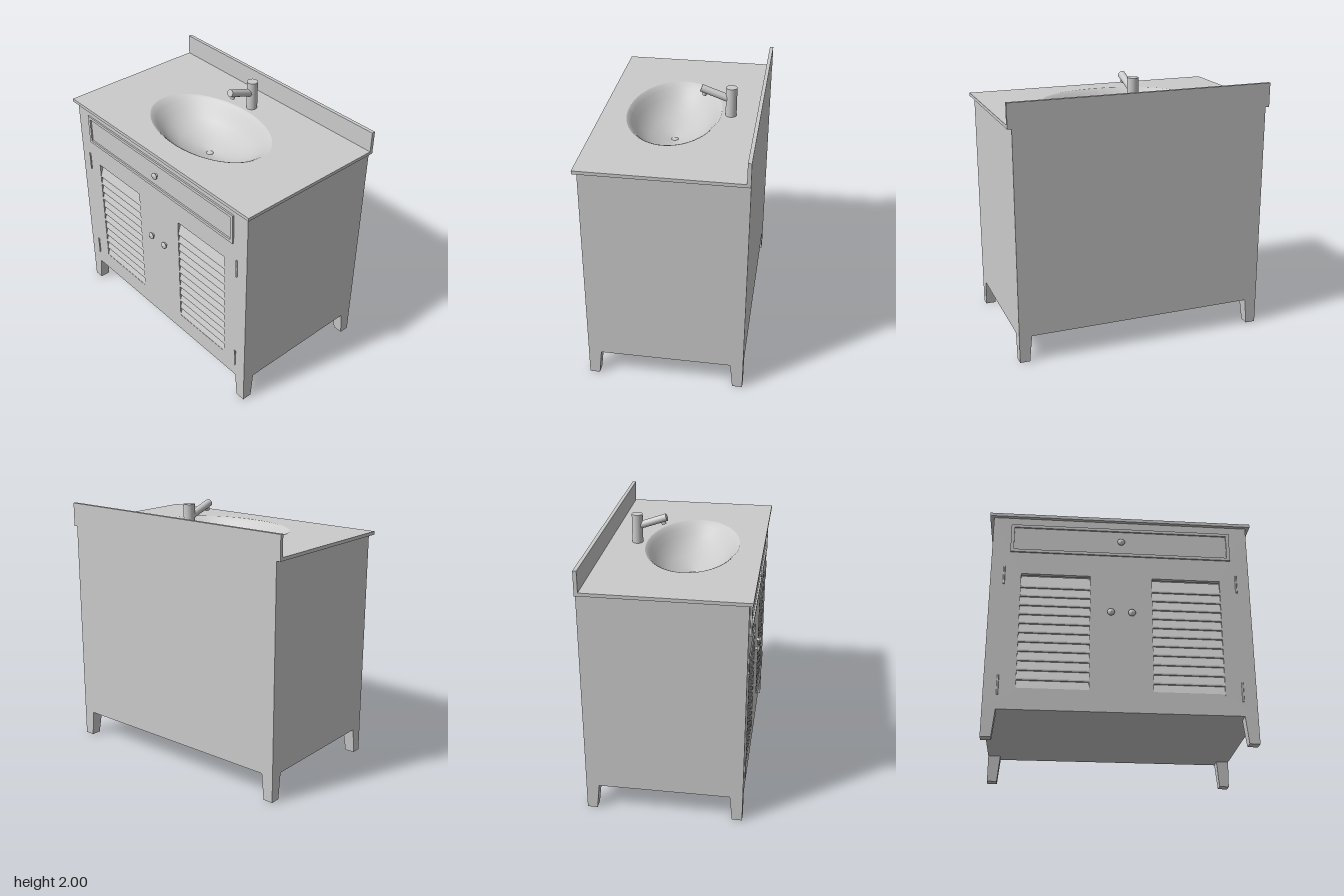
import * as THREE from 'three';

const material = new THREE.MeshStandardMaterial({ color: 0xcccccc, side: THREE.DoubleSide });

function add(parent, name, geometry, x = 0, y = 0, z = 0) {
  const mesh = new THREE.Mesh(geometry, material);
  mesh.name = name;
  mesh.position.set(x, y, z);
  parent.add(mesh);
  return mesh;
}

// Box given by its minimum and maximum corners
function addBox(parent, name, [x0, y0, z0], [x1, y1, z1]) {
  return add(parent, name, new THREE.BoxGeometry(x1 - x0, y1 - y0, z1 - z0),
    (x0 + x1) / 2, (y0 + y1) / 2, (z0 + z1) / 2);
}

function rectangle(x0, y0, x1, y1, Type = THREE.Shape) {
  return new Type([[x0, y0], [x1, y0], [x1, y1], [x0, y1]].map(p => new THREE.Vector2(...p)));
}

const extrude = (shape, depth) =>
  new THREE.ExtrudeGeometry(shape, { depth, bevelEnabled: false, curveSegments: 32 });

const lathe = (points, segments) =>
  new THREE.LatheGeometry(points.map(p => new THREE.Vector2(...p)), segments);

export function createModel() {
  const model = new THREE.Group();
  model.name = 'bathroomVanity';
  const W = 0.965, BOTTOM = 0.2, TOP = 1.745, FRONT = 0.565, BACK = -0.597;

  // Cabinet shell, open at the top to take the basin
  const cabinet = new THREE.Group();
  cabinet.name = 'cabinet';
  model.add(cabinet);
  for (const s of [-1, 1]) {
    addBox(cabinet, 'sidePanel', [s * W - (s > 0 ? 0.03 : 0), BOTTOM, BACK],
      [s * W + (s < 0 ? 0.03 : 0), TOP, FRONT - 0.03]);
  }
  addBox(cabinet, 'backPanel', [-W + 0.03, BOTTOM, BACK], [W - 0.03, TOP, BACK + 0.03]);
  addBox(cabinet, 'bottomPanel', [-W + 0.03, BOTTOM, BACK + 0.03], [W - 0.03, BOTTOM + 0.03, FRONT - 0.03]);

  // Front panel with two louvre openings
  const face = rectangle(-W, BOTTOM, W, TOP);
  face.holes.push(rectangle(-0.74, 0.35, -0.23, 1.27, THREE.Path), rectangle(0.23, 0.35, 0.74, 1.27, THREE.Path));
  add(cabinet, 'frontPanel', extrude(face, 0.03), 0, 0, FRONT - 0.03);

  // Sloping louvre slats: each leans out towards its lower edge
  const pitch = 0.0733;
  const slat = new THREE.Shape([[0, 0], [0, 0.012], [-0.03, 0.11], [-0.036, 0.11], [-0.014, 0]]
    .map(p => new THREE.Vector2(...p)));
  for (const s of [-1, 1]) {
    const louvre = new THREE.Group();
    louvre.name = s > 0 ? 'leftLouvre' : 'rightLouvre';
    cabinet.add(louvre);
    for (let i = 0; i < 12; i++) {
      const mesh = add(louvre, 'slat', extrude(slat, 0.51), s * 0.485 + 0.255, 0.35 + i * pitch, FRONT - 0.002);
      mesh.rotation.y = -Math.PI / 2;
    }
    // Hinges on the outer edge of each door
    for (const y of [0.38, 1.25]) {
      add(cabinet, 'hinge', new THREE.CylinderGeometry(0.007, 0.007, 0.145, 10), s * 0.865, y, FRONT + 0.002);
    }
  }

  // Raised drawer moulding
  const moulding = rectangle(-0.83, 1.45, 0.83, 1.685);
  moulding.holes.push(rectangle(-0.805, 1.473, 0.805, 1.662, THREE.Path));
  add(cabinet, 'drawerMoulding', extrude(moulding, 0.012), 0, 0, FRONT);

  // Turned knobs
  const knobProfile = [[0.014, 0], [0.01, 0.012], [0.026, 0.016], [0.028, 0.022], [0.02, 0.03], [0, 0.034]];
  for (const [name, x, y] of [['drawerKnob', 0, 1.565], ['leftDoorKnob', 0.077, 0.97], ['rightDoorKnob', -0.077, 0.97]]) {
    add(cabinet, name, lathe(knobProfile, 20), x, y, FRONT).rotation.x = Math.PI / 2;
  }

  // Square legs, tapering on their inner faces only
  for (const sx of [-1, 1]) for (const sz of [-1, 1]) {
    const g = new THREE.BoxGeometry(0.095, BOTTOM, 0.095);
    const p = g.attributes.position;
    for (let i = 0; i < p.count; i++) {
      if (p.getY(i) > 0) continue;
      if (p.getX(i) * sx < 0) p.setX(i, p.getX(i) + sx * 0.02);
      if (p.getZ(i) * sz < 0) p.setZ(i, p.getZ(i) + sz * 0.02);
    }
    g.computeVertexNormals();
    add(model, 'leg', g, sx * (W - 0.0475), BOTTOM / 2, sz > 0 ? FRONT - 0.0475 : BACK + 0.0475);
  }

  // Countertop with an elliptical opening
  const RX = 0.55, RZ = 0.35, CZ = 0.06, Y = 1.77;
  const counter = rectangle(-0.995, -0.592, 0.995, 0.597);
  counter.holes.push(new THREE.Path().absellipse(0, -CZ, RX, RZ, 0, Math.PI * 2));
  const slab = add(model, 'countertop', extrude(counter, 0.025), 0, Y - 0.025, 0);
  slab.rotation.x = -Math.PI / 2;
  addBox(model, 'backsplash', [-0.995, TOP, -0.597], [0.995, 1.925, -0.57]);

  // Basin bowl with a softly rolled rim
  const bowl = lathe([[0.02, -0.235], [0.25, -0.215], [0.5, -0.18], [0.68, -0.13],
    [0.8, -0.08], [0.9, -0.033], [0.96, -0.009], [1, 0]], 64);
  bowl.scale(RX, 1, RZ);
  bowl.computeVertexNormals();
  add(model, 'basin', bowl, 0, Y, CZ);
  add(model, 'drain', lathe([[0.027, -0.01], [0.027, 0.004], [0.02, 0.008], [0, 0.009]], 24), 0, Y - 0.234, CZ);

  // Faucet: upright body, rising spout and aerator
  const faucet = new THREE.Group();
  faucet.name = 'faucet';
  model.add(faucet);
  add(faucet, 'faucetBody', new THREE.CylinderGeometry(0.041, 0.041, 0.225, 32), 0, 1.8775, -0.36);
  const start = new THREE.Vector3(0, 1.9, -0.345), end = new THREE.Vector3(0, 1.974, -0.137);
  const direction = end.clone().sub(start);
  const spout = add(faucet, 'spout', new THREE.CylinderGeometry(0.028, 0.028, direction.length(), 24));
  spout.position.copy(start).lerp(end, 0.5);
  spout.quaternion.setFromUnitVectors(new THREE.Vector3(0, 1, 0), direction.normalize());
  const aerator = add(faucet, 'aerator', new THREE.CylinderGeometry(0.018, 0.018, 0.03, 20), 0, 1.935, -0.162);
  aerator.quaternion.copy(spout.quaternion);
  aerator.rotateX(-Math.PI / 2);

  return model;
}
